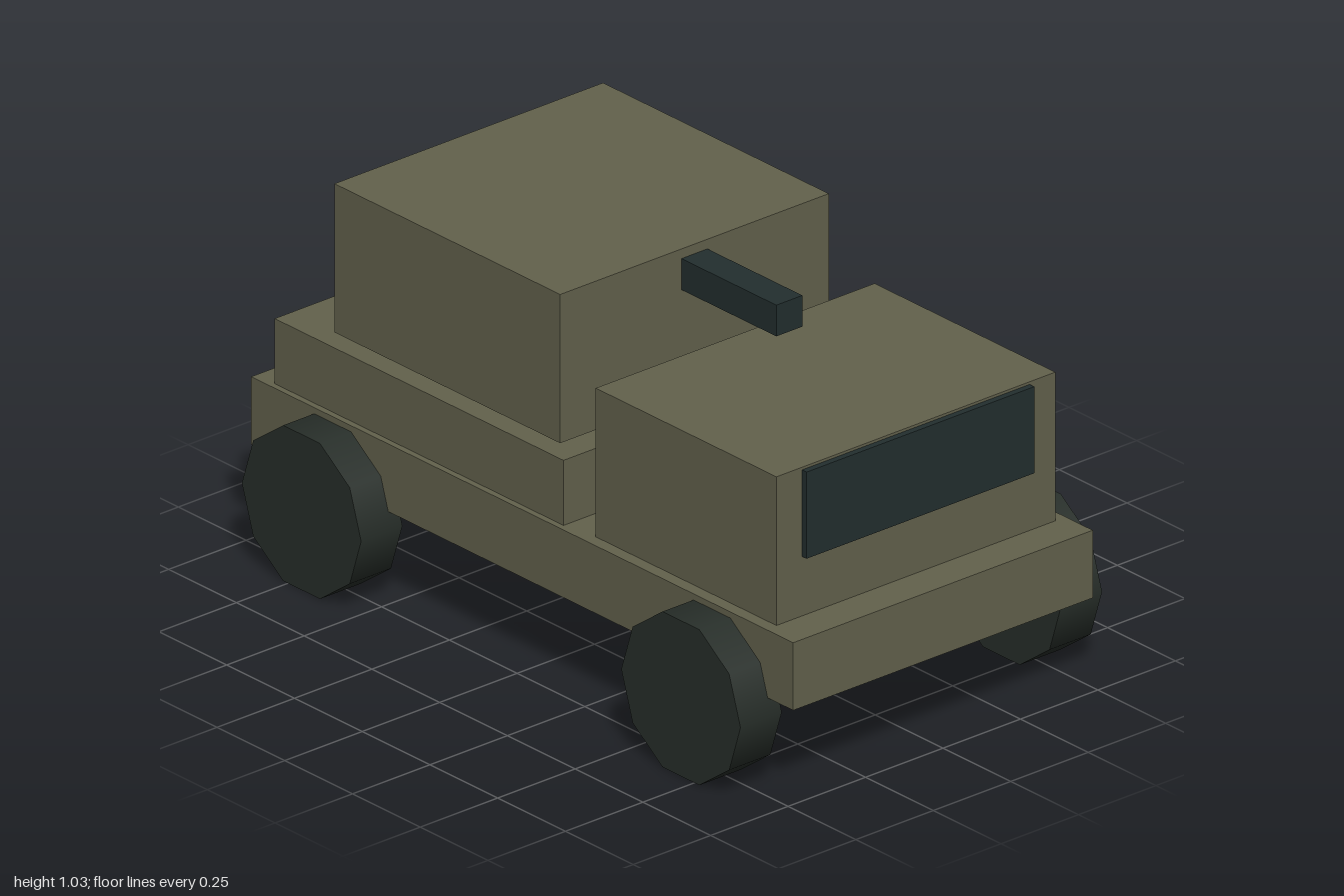
import * as THREE from 'three';

export function createModel() {
  const group = new THREE.Group();
  const olive = new THREE.MeshStandardMaterial({ color: 0x62614c });
  const dark = new THREE.MeshStandardMaterial({ color: 0x222e2e });
  const rubber = new THREE.MeshStandardMaterial({ color: 0x272e29 });

  // Box centred on x, given its width and its y and z ranges
  const box = (name, width, [y0, y1], [z0, z1], material) => {
    const mesh = new THREE.Mesh(new THREE.BoxGeometry(width, y1 - y0, z1 - z0), material);
    mesh.position.set(0, (y0 + y1) / 2, (z0 + z1) / 2);
    mesh.name = name;
    group.add(mesh);
  };

  // Body
  box('chassis', 0.967, [0.253, 0.435], [-1, 1], olive);
  box('cab', 0.9, [0.435, 0.835], [0.233, 0.9], olive);
  box('windscreen', 0.735, [0.595, 0.828], [0.9, 0.917], dark);
  box('rearBed', 0.933, [0.435, 0.61], [-0.933, 0.133], olive);

  // Raised rear box with its forward barrel
  box('turret', 0.867, [0.628, 1.028], [-0.75, 0.083], olive);
  box('barrel', 0.084, [0.918, 1.002], [0.083, 0.433], dark);

  // Four ten-sided wheels, resting on a flat side
  const wheelGeometry = new THREE.CylinderGeometry(0.22, 0.22, 0.133, 10).rotateZ(Math.PI / 2);
  for (const [side, x] of [['Left', 0.517], ['Right', -0.517]]) {
    for (const [end, z] of [['front', 0.7], ['rear', -0.7]]) {
      const wheel = new THREE.Mesh(wheelGeometry, rubber);
      wheel.position.set(x, 0.22 * Math.cos(Math.PI / 10), z);
      wheel.name = `${end}${side}Wheel`;
      group.add(wheel);
    }
  }
  return group;
}
